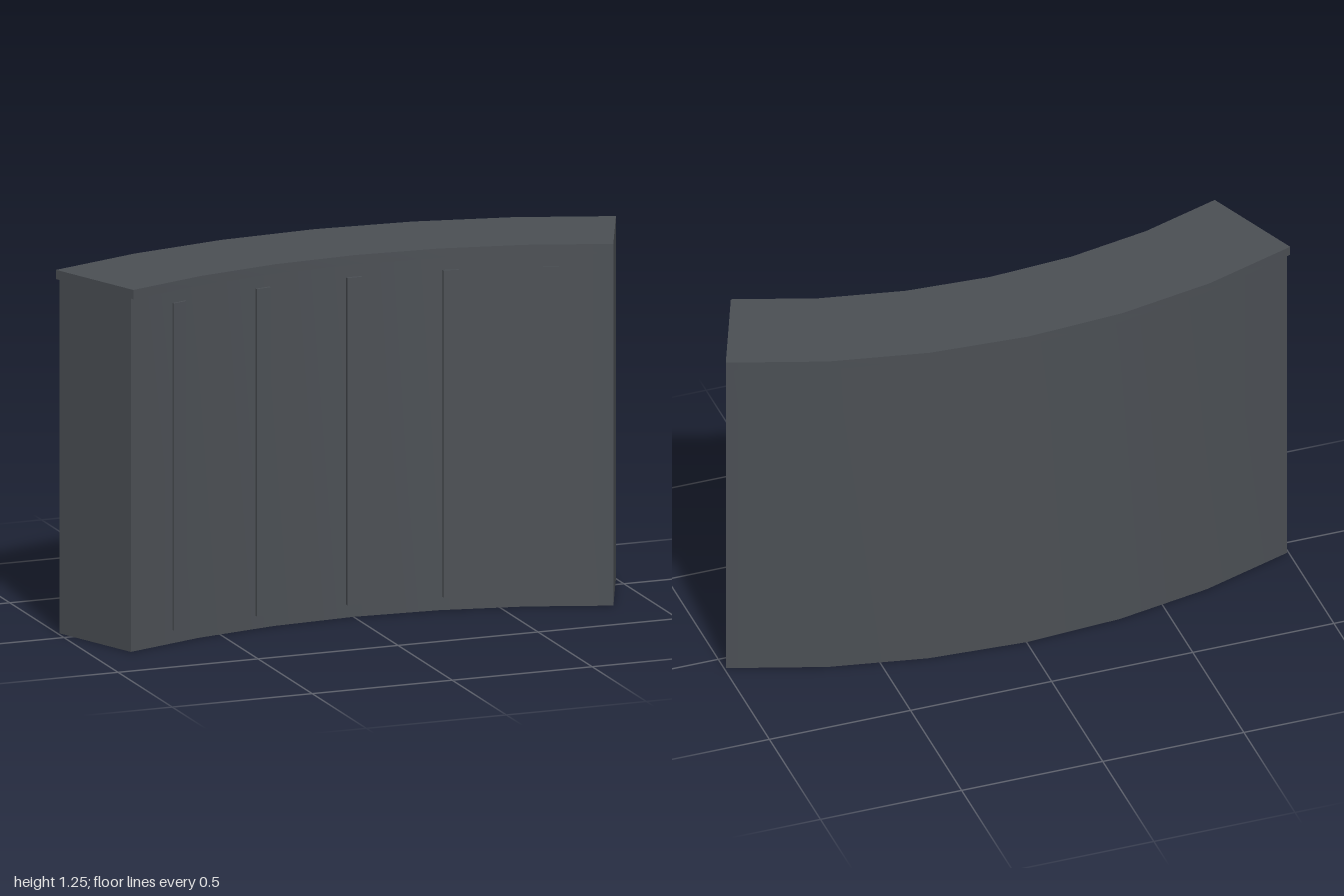
import * as THREE from 'three';
import { toCreasedNormals } from 'three/addons/utils/BufferGeometryUtils.js';

const CENTRE_Z = 2.341;      // axis of the curve, in front of the wall
const HALF_ANGLE = Math.PI / 8;
const SEGMENTS = 6;

const arcPoint = (radius, angle) =>
  new THREE.Vector2(radius * Math.sin(angle), radius * Math.cos(angle) - CENTRE_Z);

// Curved slab between two radii, from y0 to y1
function curvedSlab(inner, outer, y0, y1) {
  const near = [], far = [];
  for (let i = 0; i <= SEGMENTS; i++) {
    const a = HALF_ANGLE * (2 * i / SEGMENTS - 1);
    near.push(arcPoint(inner, a));
    far.unshift(arcPoint(outer, a));
  }
  const geometry = new THREE.ExtrudeGeometry(new THREE.Shape([...near, ...far]), {
    depth: y1 - y0, bevelEnabled: false,
  });
  geometry.rotateX(-Math.PI / 2).translate(0, y0, 0);
  return toCreasedNormals(geometry, 0.4);
}

export function createModel() {
  const group = new THREE.Group();
  const darkGrey = new THREE.MeshStandardMaterial({ color: 0x4b4f54 });
  darkGrey.name = 'darkGrey';

  const add = (name, geometry) => {
    const mesh = new THREE.Mesh(geometry, darkGrey);
    mesh.name = name;
    group.add(mesh);
    return mesh;
  };

  // Wall and its slightly overhanging cap
  add('wall', curvedSlab(2.252, 2.596, 0, 1.215));
  add('cap', curvedSlab(2.24, 2.613, 1.215, 1.247));

  // Vertical ribs on the concave face
  const ribGeometry = new THREE.BoxGeometry(0.054, 1.125, 0.024);
  for (let i = -2; i <= 2; i++) {
    const angle = i * 0.15;
    const p = arcPoint(2.252, angle);
    const rib = add('rib', ribGeometry);
    rib.position.set(p.x, 0.6075, -p.y);
    rib.rotation.y = -angle;
  }
  return group;
}
